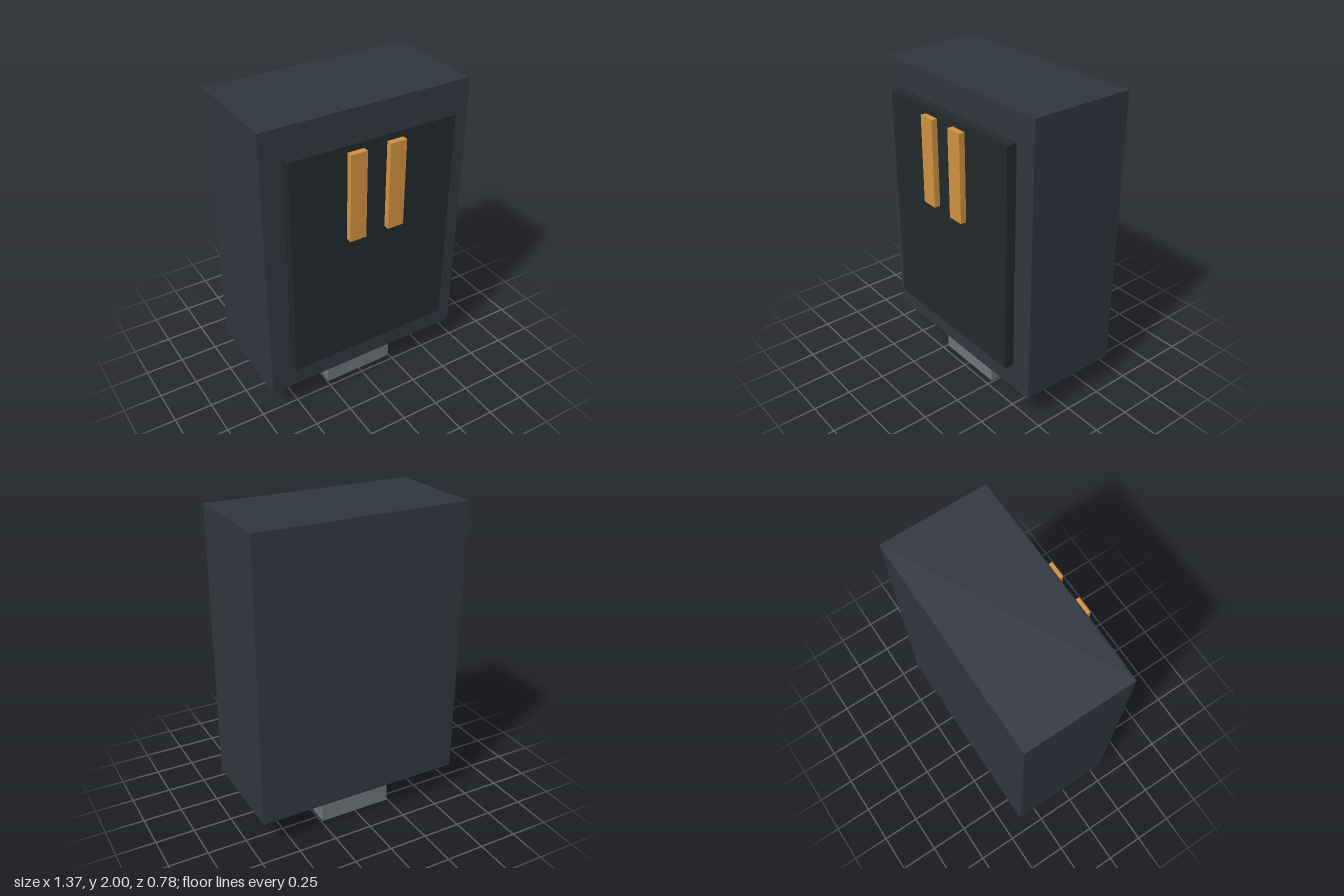
import * as THREE from 'three';

const paint = (color) => new THREE.MeshStandardMaterial({ color });

export function createModel() {
  const model = new THREE.Group();
  const shell = paint(0x30363f);
  const dark = paint(0x22282c);
  const steel = paint(0x6b7379);
  const copper = paint(0xd19040);

  // Box given by its low and high corners
  const addBox = (name, material, [x0, y0, z0], [x1, y1, z1]) => {
    const mesh = new THREE.Mesh(new THREE.BoxGeometry(x1 - x0, y1 - y0, z1 - z0), material);
    mesh.position.set((x0 + x1) / 2, (y0 + y1) / 2, (z0 + z1) / 2);
    mesh.name = name;
    model.add(mesh);
  };

  // Main housing and its raised front panel
  addBox('housing', shell, [-0.687, 0.19, -0.39], [0.687, 2, 0.288]);
  addBox('frontPanel', dark, [-0.55, 0.37, 0.28], [0.547, 1.823, 0.352]);

  // Pair of upright strips on the panel
  addBox('rightStrip', copper, [-0.186, 1.22, 0.345], [-0.078, 1.782, 0.39]);
  addBox('leftStrip', copper, [0.074, 1.22, 0.345], [0.182, 1.782, 0.39]);

  // Block under the housing
  addBox('baseBlock', steel, [-0.243, 0, -0.306], [0.24, 0.2, 0.211]);

  return model;
}
